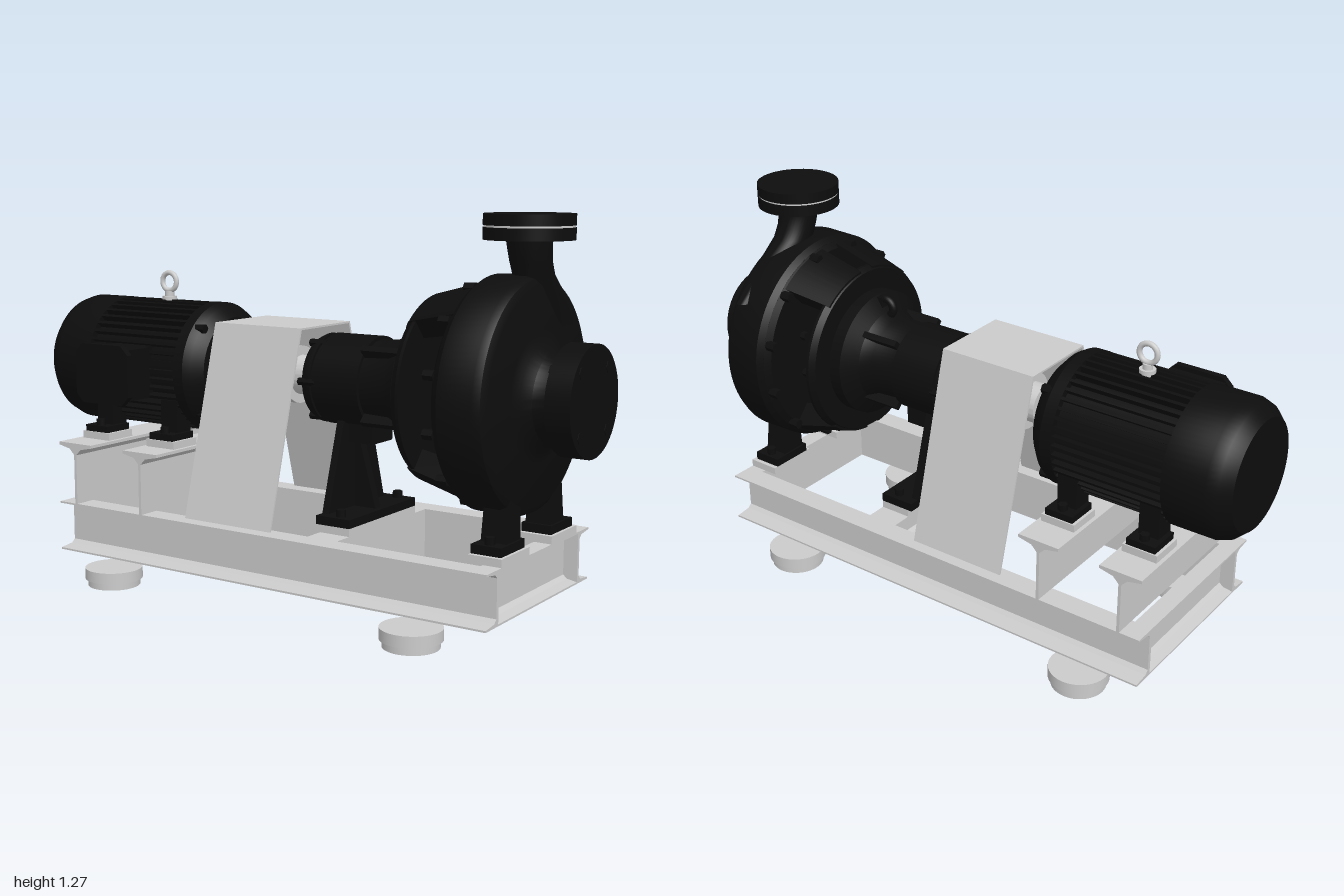
import * as THREE from 'three';
import { toCreasedNormals } from 'three/addons/utils/BufferGeometryUtils.js';

const AXIS = 0.73; // shaft height
const grey = new THREE.MeshStandardMaterial({ color: 0xcccccc });
const sheet = new THREE.MeshStandardMaterial({ color: 0xcccccc, side: THREE.DoubleSide });
const black = new THREE.MeshStandardMaterial({ color: 0x0d0d0d });

function add(parent, name, geo, mat, x = 0, y = 0, z = 0) {
  const m = new THREE.Mesh(geo, mat);
  m.name = name;
  m.position.set(x, y, z);
  parent.add(m);
  return m;
}
const sub = (parent, name) => {
  const g = new THREE.Group();
  g.name = name;
  parent.add(g);
  return g;
};
// box given by its ranges
const box = (p, name, mat, [x0, x1], [y0, y1], [z0, z1]) =>
  add(p, name, new THREE.BoxGeometry(x1 - x0, y1 - y0, z1 - z0), mat, (x0 + x1) / 2, (y0 + y1) / 2, (z0 + z1) / 2);
const cyl = (p, name, mat, r, h, x, y, z, seg = 32) =>
  add(p, name, new THREE.CylinderGeometry(r, r, h, seg), mat, x, y, z);
// turned part about the shaft; points are [x, radius]
function turned(p, name, mat, pts, seg = 64) {
  const geo = new THREE.LatheGeometry(pts.map(([x, r]) => new THREE.Vector2(r, x)), seg);
  geo.rotateZ(-Math.PI / 2);
  return add(p, name, toCreasedNormals(geo, 0.5), mat, 0, AXIS, 0);
}
const rod = (p, name, mat, r, x0, x1, seg) => turned(p, name, mat, [[x0, 0], [x0, r], [x1, r], [x1, 0]], seg);
// ring of bolts lying along x
function bolts(p, name, n, ring, r, x0, x1, phase = 0) {
  for (let i = 0; i < n; i++) {
    const a = phase + (i / n) * Math.PI * 2;
    const b = rod(p, name, black, r, x0, x1, 6);
    b.position.set(0, AXIS + Math.cos(a) * ring, Math.sin(a) * ring);
  }
}
function plate(pts, depth) {
  const s = new THREE.Shape(pts.map(([x, y]) => new THREE.Vector2(x, y)));
  return new THREE.ExtrudeGeometry(s, { depth, bevelEnabled: false, curveSegments: 16 }).translate(0, 0, -depth / 2);
}
// C section with tapered flanges, opening to +x, running along z
const channel = (w, h, len) => plate([[0, 0], [w, 0], [w, 0.006], [0.025, 0.012], [0.012, 0.024],
  [0.012, h - 0.024], [0.025, h - 0.012], [w, h - 0.006], [w, h], [0, h]], len);

function buildBase(root) {
  const g = sub(root, 'baseFrame');
  for (const s of [1, -1]) {
    add(g, 'sideRail', channel(0.077, 0.17, 1.66).rotateY(-s * Math.PI / 2), grey, 0.01, 0.095, s * 0.268);
    const end = channel(0.06, 0.17, 0.55);
    if (s < 0) end.rotateY(Math.PI);
    add(g, 'endChannel', end, grey, 0.01 + s * 0.77, 0.095, 0);
  }
  add(g, 'crossChannel', channel(0.11, 0.17, 0.54).rotateY(Math.PI), grey, 0.28, 0.095, 0);

  // T beams carrying the motor
  for (const x of [-0.745, -0.455]) {
    const t = plate([[-0.005, 0], [0.005, 0], [0.005, 0.17], [0.025, 0.19], [0.073, 0.2], [0.073, 0.21],
      [-0.073, 0.21], [-0.073, 0.2], [-0.025, 0.19], [-0.005, 0.17]], 0.69);
    add(g, 'motorBeam', t, grey, x, 0.265, 0);
    for (const s of [1, -1]) box(g, 'motorPad', grey, [x - 0.06, x + 0.06], [0.475, 0.5], [s * 0.18 - 0.06, s * 0.18 + 0.06]);
  }
  // levelling feet
  for (const x of [-0.6, 0.58]) for (const z of [-0.32, 0.32]) {
    const f = sub(g, 'levellingFoot');
    cyl(f, 'footBase', grey, 0.088, 0.03, x, 0.015, z, 48);
    cyl(f, 'footTop', grey, 0.097, 0.037, x, 0.0425, z, 48);
  }
}

function buildMotor(root) {
  const g = sub(root, 'motor');
  turned(g, 'fanCover', black, [[-1, 0], [-1, 0.178], [-0.965, 0.21], [-0.93, 0.222], [-0.79, 0.222], [-0.79, 0]]);
  rod(g, 'motorBody', black, 0.198, -0.8, -0.38);
  turned(g, 'endShield', black, [[-0.41, 0], [-0.41, 0.222], [-0.37, 0.222], [-0.345, 0.208], [-0.315, 0.175],
    [-0.305, 0.06], [-0.295, 0.055], [-0.295, 0]]);
  bolts(g, 'shieldBolt', 4, 0.205, 0.016, -0.37, -0.33, Math.PI / 4);
  // cooling fins
  for (let i = 0; i < 44; i++) {
    const a = (i / 44) * Math.PI * 2;
    const fin = box(g, 'coolingFin', black, [-0.8, -0.4], [0.195, 0.221], [-0.005, 0.005]);
    fin.position.set(-0.6, AXIS + Math.cos(a) * 0.208, Math.sin(a) * 0.208);
    fin.rotation.x = a;
  }
  // terminal box
  box(g, 'terminalNeck', black, [-0.68, -0.53], [0.65, 0.81], [0.17, 0.25]);
  const lid = plate([[-0.115, -0.07], [-0.085, -0.1], [0.085, -0.1], [0.115, -0.07], [0.115, 0.07], [0.085, 0.1],
    [-0.085, 0.1], [-0.115, 0.07]], 0.022);
  add(g, 'terminalLid', lid, black, -0.605, 0.725, 0.344);
  box(g, 'terminalBox', black, [-0.705, -0.505], [0.64, 0.81], [0.23, 0.34]);
  // mounting feet
  for (const x of [-0.745, -0.455]) for (const s of [1, -1]) {
    box(g, 'motorFoot', black, [x - 0.05, x + 0.05], [0.5, 0.522], [s * 0.18 - 0.055, s * 0.18 + 0.055]);
    box(g, 'footWeb', black, [x - 0.035, x + 0.035], [0.51, 0.63], [s * 0.155 - 0.035, s * 0.155 + 0.035]);
    cyl(g, 'footBolt', black, 0.016, 0.025, x, 0.53, s * 0.212, 6);
  }
  // lifting eye
  cyl(g, 'eyeStem', grey, 0.016, 0.04, -0.605, 0.96, 0, 16);
  cyl(g, 'eyeCollar', grey, 0.026, 0.012, -0.605, 0.957, 0, 24);
  add(g, 'eyeRing', new THREE.TorusGeometry(0.031, 0.009, 12, 32), grey, -0.605, 1.013, 0);
}

function buildCoupling(root) {
  const g = sub(root, 'coupling');
  rod(g, 'driveShaft', grey, 0.035, -0.32, 0.1, 32);
  turned(g, 'couplingHubs', grey, [[-0.24, 0], [-0.24, 0.065], [-0.19, 0.065], [-0.19, 0.095], [-0.125, 0.095],
    [-0.125, 0.08], [-0.105, 0.08], [-0.105, 0.095], [-0.04, 0.095], [-0.04, 0.065], [0.01, 0.065], [0.01, 0]]);
  // folded sheet guard, open at both ends
  const t = 0.006;
  const guard = plate([[-0.312, 0.27], [-0.142, 0.9], [0.142, 0.9], [0.312, 0.27], [0.312 - t, 0.27],
    [0.142 - t, 0.9 - t], [t - 0.142, 0.9 - t], [t - 0.312, 0.27]], 0.345).rotateY(Math.PI / 2);
  add(g, 'guard', guard, sheet, -0.117, 0, 0);
}

function buildBearing(root) {
  const g = sub(root, 'bearingFrame');
  turned(g, 'bearingHousing', black, [[0.055, 0], [0.055, 0.135], [0.075, 0.145], [0.09, 0.145], [0.09, 0.136],
    [0.1, 0.136], [0.1, 0.147], [0.27, 0.147], [0.27, 0.135], [0.36, 0.14], [0.4, 0.16], [0.435, 0.215],
    [0.5, 0.215], [0.5, 0]]);
  bolts(g, 'coverBolt', 6, 0.137, 0.013, 0.045, 0.11, Math.PI / 6);
  for (let i = 0; i < 4; i++) {
    const rib = box(g, 'housingRib', black, [0.27, 0.44], [-0.03, 0.03], [-0.01, 0.01]);
    const a = Math.PI / 4 + i * Math.PI / 2;
    rib.position.set(0.355, AXIS + Math.cos(a) * 0.14, Math.sin(a) * 0.14);
    rib.rotation.x = a;
  }
  // lifting lug
  add(g, 'liftingLug', new THREE.TorusGeometry(0.03, 0.014, 10, 28), black, 0.405, 0.905, 0);
  box(g, 'lugWeb', black, [0.41, 0.46], [0.86, 0.94], [-0.015, 0.015]);
  rod(g, 'pumpShaft', grey, 0.045, 0.49, 0.66, 32);

  // lantern arms, an annular sector each
  for (const base of [0, Math.PI]) for (const s of [1, -1]) {
    const a = Math.PI / 2 + base + s * 0.41, h = 0.31;
    const sh = new THREE.Shape();
    sh.absarc(0, 0, 0.295, a - h, a + h, false);
    sh.absarc(0, 0, 0.22, a + h, a - h, true);
    const geo = new THREE.ExtrudeGeometry(sh, { depth: 0.175, bevelEnabled: false, curveSegments: 12 });
    const p = geo.attributes.position;
    for (let i = 0; i < p.count; i++) { // flare towards the casing
      const k = 1 + 0.9 * p.getZ(i);
      p.setXY(i, p.getX(i) * k, p.getY(i) * k);
    }
    geo.rotateY(Math.PI / 2);
    geo.computeVertexNormals();
    add(g, 'lanternArm', toCreasedNormals(geo, 0.5), black, 0.485, AXIS, 0);
  }
  turned(g, 'lanternRing', black, [[0.48, 0.19], [0.48, 0.285], [0.5, 0.297], [0.51, 0.297], [0.51, 0.19], [0.48, 0.19]]);

  // support leg
  const leg = sub(g, 'supportLeg');
  add(leg, 'legPlate', plate([[-0.17, 0.3], [0.17, 0.3], [0.075, 0.62], [-0.075, 0.62]], 0.025).rotateY(Math.PI / 2), black, 0.167, 0, 0);
  add(leg, 'legGusset', plate([[0.165, 0.3], [0.265, 0.3], [0.195, 0.55], [0.195, 0.62], [0.165, 0.62]], 0.03), black);
  box(leg, 'legHead', black, [0.185, 0.275], [0.535, 0.62], [-0.06, 0.06]);
  box(leg, 'legBase', black, [0.155, 0.28], [0.29, 0.318], [-0.2, 0.2]);
  box(leg, 'legPad', grey, [0.17, 0.28], [0.265, 0.29], [-0.2, 0.2]);
  for (const s of [1, -1]) cyl(leg, 'legBolt', black, 0.016, 0.025, 0.23, 0.328, s * 0.17, 6);
}

function buildPump(root) {
  const g = sub(root, 'pump');
  turned(g, 'casingCover', black, [[0.64, 0], [0.64, 0.325], [0.655, 0.345], [0.69, 0.345], [0.69, 0]]);
  turned(g, 'volute', black, [[0.655, 0], [0.655, 0.345], [0.675, 0.36], [0.79, 0.362], [0.812, 0.352], [0.824, 0.33],
    [0.828, 0.2], [0.84, 0.165], [0.865, 0.135], [0.9, 0.122], [0.92, 0.122], [0.92, 0.17], [1, 0.17], [1, 0]], 96);
  bolts(g, 'casingBolt', 12, 0.333, 0.017, 0.615, 0.65, Math.PI / 12);
  bolts(g, 'coverBolt', 8, 0.18, 0.015, 0.62, 0.645, Math.PI / 8);
  bolts(g, 'flangeBolt', 4, 0.133, 0.02, 0.905, 1.002, Math.PI / 4);

  // discharge neck: rows of [y, centre z, half width z, half width x]
  const rows = [[0.93, -0.17, 0.15, 0.05], [1.0, -0.12, 0.12, 0.055], [1.06, -0.06, 0.095, 0.058],
    [1.09, -0.035, 0.075, 0.06], [1.13, -0.015, 0.067, 0.063], [1.17, -0.005, 0.066, 0.067], [1.215, 0, 0.068, 0.072]];
  const n = rows.length - 1;
  const neck = new THREE.CylinderGeometry(1, 1, 1, 40, n);
  const p = neck.attributes.position;
  for (let i = 0; i < p.count; i++) {
    const [y, c, rz, rx] = rows[Math.round((p.getY(i) + 0.5) * n)];
    p.setXYZ(i, p.getX(i) * rx, y, c + p.getZ(i) * rz);
  }
  neck.computeVertexNormals();
  add(g, 'dischargeNeck', toCreasedNormals(neck, 0.7), black, 0.778, 0, 0);
  cyl(g, 'dischargeFlange', black, 0.137, 0.037, 0.778, 1.2125, 0, 64);
  cyl(g, 'flangeGasket', grey, 0.134, 0.008, 0.778, 1.235, 0, 64);
  cyl(g, 'counterFlange', black, 0.137, 0.034, 0.778, 1.254, 0, 64);

  // casing feet
  for (const s of [1, -1]) {
    const leg = plate([[s * 0.1, 0.3], [s * 0.195, 0.3], [s * 0.17, 0.46], [s * 0.11, 0.46]], 0.085);
    add(g, 'pumpLeg', leg.rotateY(-Math.PI / 2), black, 0.78, 0, 0);
    box(g, 'pumpFoot', black, [0.73, 0.83], [0.29, 0.318], [s * 0.165 - 0.075, s * 0.165 + 0.075]);
    box(g, 'pumpPad', grey, [0.73, 0.84], [0.265, 0.29], [s * 0.165 - 0.09, s * 0.165 + 0.09]);
    cyl(g, 'pumpFootBolt', black, 0.016, 0.025, 0.78, 0.328, s * 0.215, 6);
  }
}

export function createModel() {
  const root = new THREE.Group();
  root.name = 'pumpSet';
  buildBase(root);
  buildMotor(root);
  buildCoupling(root);
  buildBearing(root);
  buildPump(root);
  return root;
}
